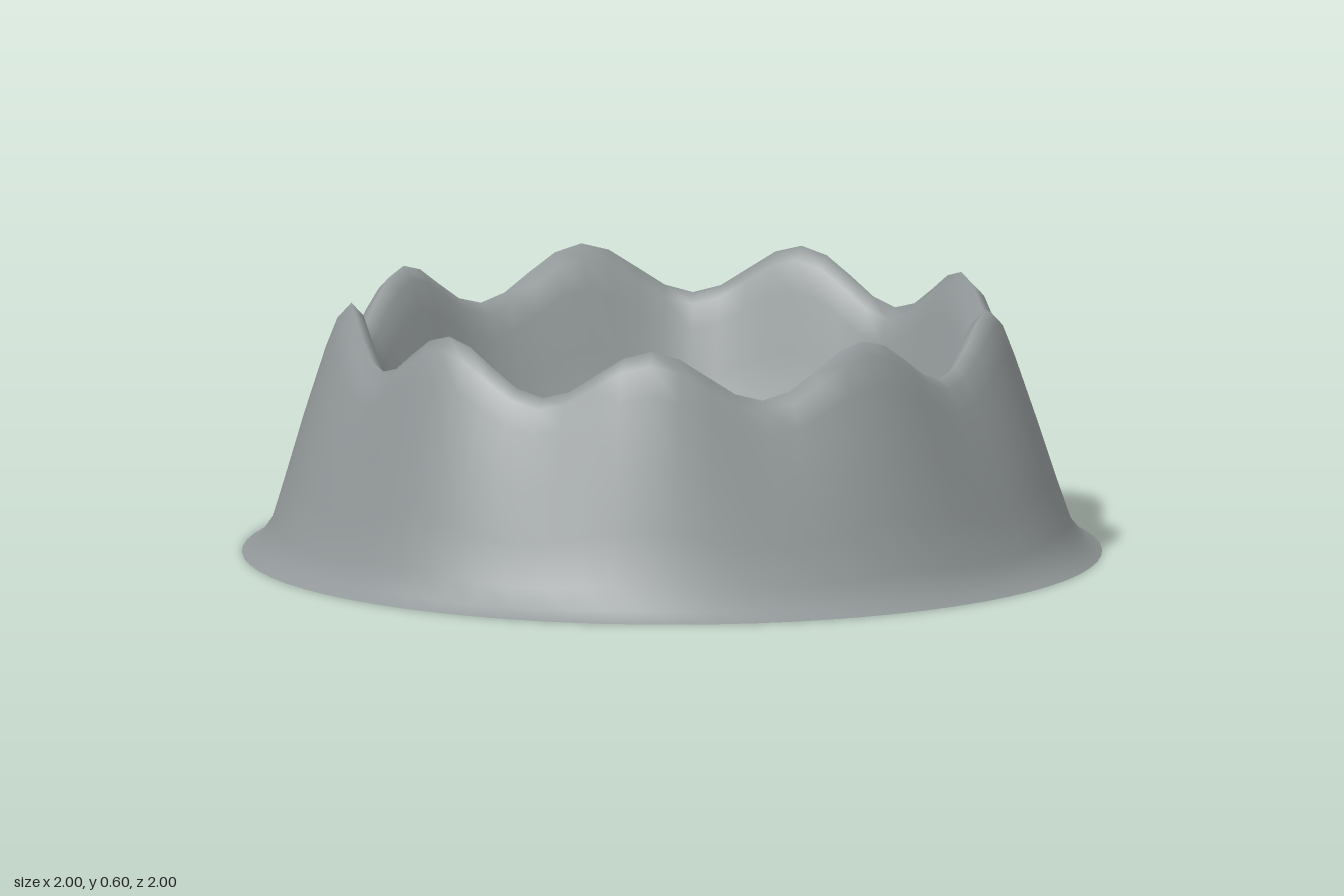
import * as THREE from 'three';
import { mergeVertices } from 'three/addons/utils/BufferGeometryUtils.js';

const stone = new THREE.MeshStandardMaterial({ name: 'grey stone', color: 0x929899, side: THREE.DoubleSide });
const blue = new THREE.MeshStandardMaterial({ name: 'lake blue', color: 0x2d6088 });
const green = new THREE.MeshStandardMaterial({ name: 'island green', color: 0x437559, flatShading: true });

// Crater profile: up the outside, over the rim, down the inside to the floor
const profile = [
  [1, 0], [0.965, 0.025], [0.93, 0.08], [0.895, 0.2], [0.855, 0.34], [0.805, 0.5], [0.778, 0.57], [0.75, 0.6],
  [0.722, 0.57], [0.7, 0.5], [0.665, 0.36], [0.63, 0.23], [0.59, 0.14], [0.55, 0.1], [0.51, 0.085], [0, 0.085],
].map(([r, y]) => new THREE.Vector2(r, y));

function craterGeometry() {
  let g = new THREE.LatheGeometry(profile, 72);
  g.deleteAttribute('uv');
  g.deleteAttribute('normal');
  const p = g.attributes.position;
  // Nine peaks around the rim, fading towards the ground
  for (let i = 0; i < p.count; i++) {
    const r = Math.hypot(p.getX(i), p.getZ(i));
    const wave = r < 0.01 ? 0 : -Math.cos(9 * Math.atan2(p.getX(i), p.getZ(i)));
    p.setY(i, p.getY(i) * (0.9 + 0.1 * wave));
  }
  g = mergeVertices(g, 1e-4);
  g.computeVertexNormals();
  return g;
}

export function createModel() {
  const model = new THREE.Group();
  model.name = 'craterLake';
  const add = (name, geometry, material, x = 0, y = 0, z = 0) => {
    const mesh = new THREE.Mesh(geometry, material);
    mesh.name = name;
    mesh.position.set(x, y, z);
    model.add(mesh);
    return mesh;
  };

  add('craterWall', craterGeometry(), stone);
  // Ten-sided water sheet that runs into the crater wall
  add('lake', new THREE.CylinderGeometry(0.68, 0.68, 0.01, 10), blue, 0, 0.109, 0);
  // Small cone island rising through the water
  const island = add('island', new THREE.CylinderGeometry(0.015, 0.165, 0.2, 7), green, -0.3, 0.11, 0.12);
  island.rotation.y = Math.PI;
  return model;
}
